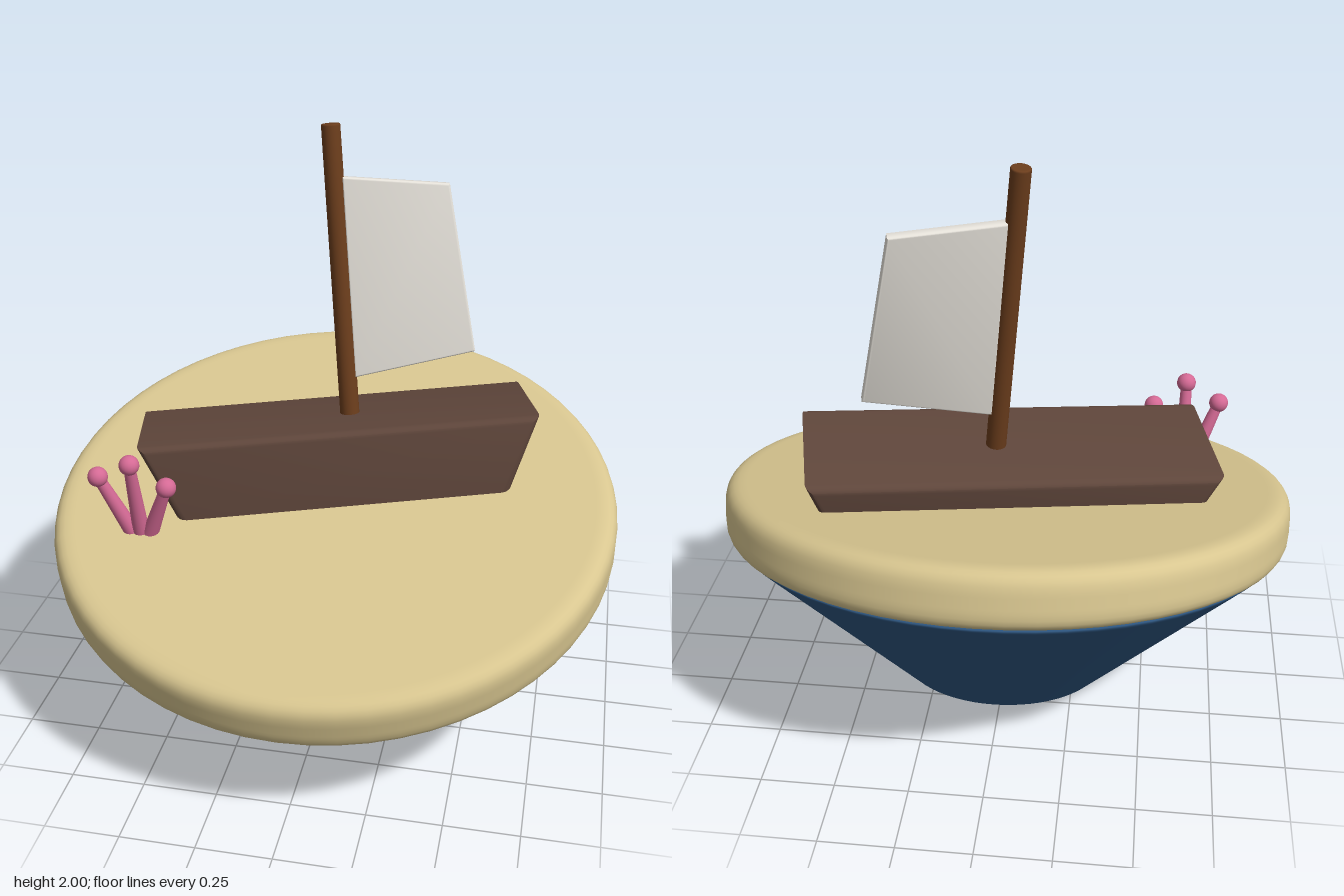
import * as THREE from 'three';
import { toCreasedNormals } from 'three/addons/utils/BufferGeometryUtils.js';

const mat = (name, color) => {
  const m = new THREE.MeshStandardMaterial({ color });
  m.name = name;
  return m;
};

// Lathe whose inner profile corners are rounded by radius r
function roundedLathe(corners, r, segments = 64) {
  const p = corners.map(([x, y]) => new THREE.Vector2(x, y));
  const points = [p[0]];
  for (let i = 1; i < p.length - 1; i++) {
    const a = p[i - 1].clone().sub(p[i]).normalize();
    const b = p[i + 1].clone().sub(p[i]).normalize();
    const at = (dir, d) => p[i].clone().addScaledVector(dir, d);
    points.push(at(a, r * 1.2));
    points.push(...new THREE.QuadraticBezierCurve(at(a, r), p[i], at(b, r)).getPoints(6));
    points.push(at(b, r * 1.2));
  }
  points.push(p[p.length - 1]);
  return new THREE.LatheGeometry(points, segments);
}

// Outline in x and y extruded along z, centred, with soft front and back edges
function plate(corners, width, bevel) {
  const shape = new THREE.Shape(corners.map(([x, y]) => new THREE.Vector2(x, y)));
  const geo = new THREE.ExtrudeGeometry(shape, {
    depth: width - 2 * bevel, bevelEnabled: true, bevelThickness: bevel,
    bevelSize: bevel, bevelOffset: -bevel, bevelSegments: 4,
  });
  geo.translate(0, 0, -width / 2 + bevel);
  return toCreasedNormals(geo, 0.6);
}

export function createModel() {
  const model = new THREE.Group();
  model.name = 'boatOnTiltedIsland';
  const sand = mat('sand', 0xd8c690);
  const blue = mat('deepBlue', 0x2d557f);
  const hullBrown = mat('hullBrown', 0x5f463b);
  const mastBrown = mat('mastBrown', 0x6b3d1c);
  const canvas = mat('canvas', 0xeeeae2);
  const pink = mat('coralPink', 0xd56a95);

  const add = (parent, name, geo, material) => {
    const mesh = new THREE.Mesh(geo, material);
    mesh.name = name;
    parent.add(mesh);
    return mesh;
  };

  // Tilted island: conical base with a thick rounded disc on top
  const island = new THREE.Group();
  island.name = 'island';
  island.position.set(0, 0.59, -0.025);
  island.rotation.x = 0.24;
  model.add(island);
  add(island, 'base', roundedLathe([[0, -0.53], [0.33, -0.53], [0.945, 0.012], [0, 0.012]], 0.025), blue);
  add(island, 'sandDisc', roundedLathe([[0, 0.012], [0.978, 0.012], [0.978, 0.204], [0, 0.204]], 0.065), sand);

  // Leaning boat, its origin at the middle of the deck
  const boat = new THREE.Group();
  boat.name = 'boat';
  const along = new THREE.Vector3(0.965, 0.059, -0.258).normalize();
  const up = new THREE.Vector3(-0.091, 0.989, -0.115).normalize();
  const across = new THREE.Vector3().crossVectors(along, up).normalize();
  up.crossVectors(across, along);
  boat.quaternion.setFromRotationMatrix(new THREE.Matrix4().makeBasis(along, up, across));
  boat.position.set(-0.025, 1.0, -0.14);
  model.add(boat);

  add(boat, 'hull', plate([[-0.56, -0.3], [0.56, -0.3], [0.685, 0], [-0.685, 0]], 0.45, 0.03), hullBrown);
  const mast = add(boat, 'mast',
    roundedLathe([[0, -0.05], [0.034, -0.05], [0.032, 1.0], [0, 1.0]], 0.006, 24), mastBrown);
  mast.position.x = 0.05;
  add(boat, 'sail', plate([[0.075, 0.13], [0.5, 0.19], [0.435, 0.776], [0.075, 0.825]], 0.042, 0.008), canvas);

  // Coral: three tapered stalks with round tips
  const coral = new THREE.Group();
  coral.name = 'coral';
  model.add(coral);
  const tips = [[-0.73, 0.935, 0.36], [-0.61, 1.0, 0.38], [-0.497, 0.915, 0.355]];
  tips.forEach(([x, y, z], i) => {
    const tip = new THREE.Vector3(x, y, z);
    const root = new THREE.Vector3(-0.61 + (i - 1) * 0.025, 0.69, 0.305);
    const dir = tip.clone().sub(root);
    const stalk = add(coral, 'coralStalk', new THREE.CylinderGeometry(0.019, 0.029, dir.length(), 16), pink);
    stalk.position.copy(root).add(tip).multiplyScalar(0.5);
    stalk.quaternion.setFromUnitVectors(new THREE.Vector3(0, 1, 0), dir.normalize());
    add(coral, 'coralTip', new THREE.SphereGeometry(0.034, 20, 14), pink).position.copy(tip);
  });

  return model;
}
